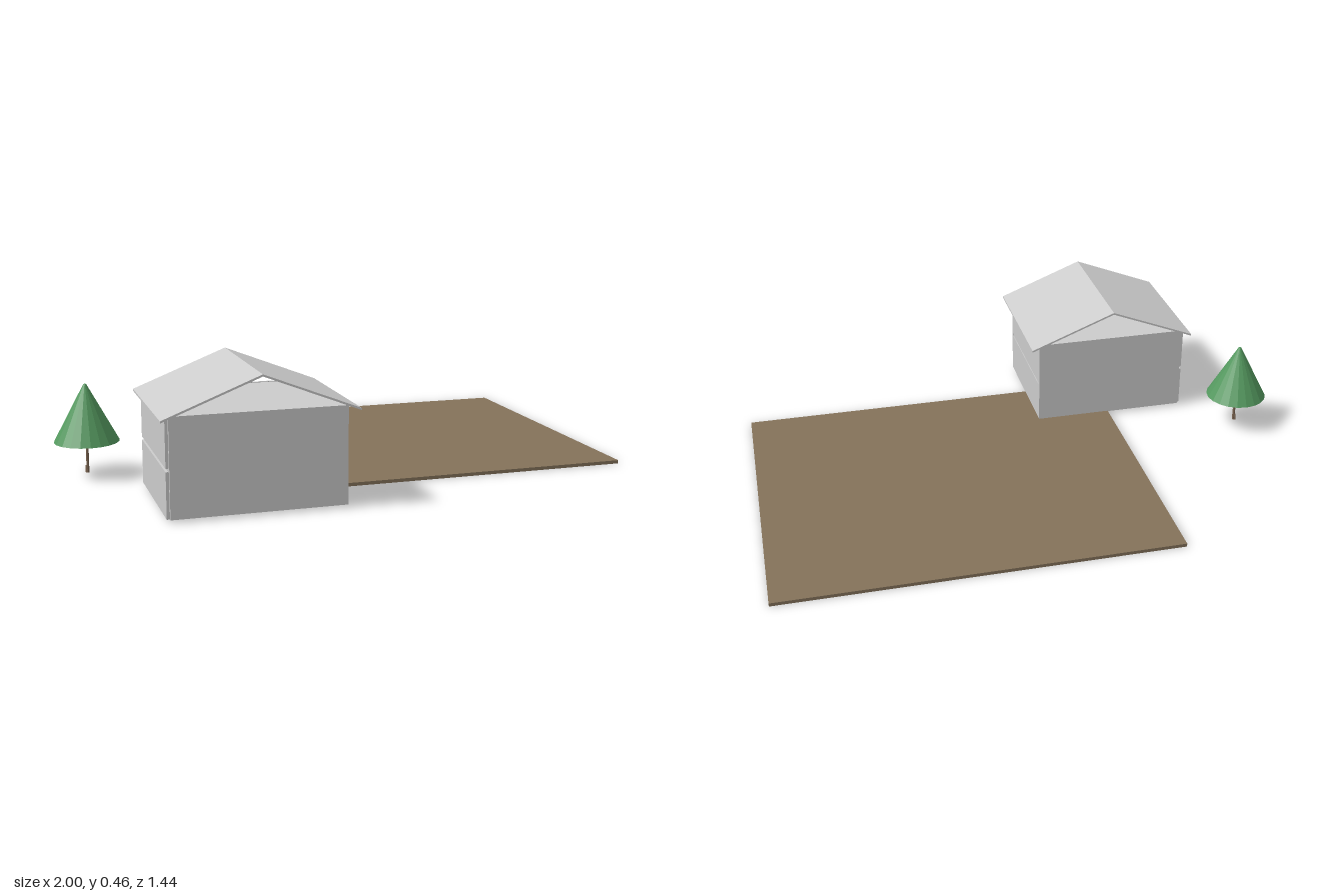
import * as THREE from 'three';

const material = (name, color) => {
  const m = new THREE.MeshStandardMaterial({ color, flatShading: true });
  m.name = name;
  return m;
};

export function createModel() {
  const grey = material('pale grey', 0xcccccc);
  const earth = material('earth brown', 0x84725a);
  const bark = material('bark brown', 0x7a6350);
  const leaf = material('leaf green', 0x559a60);

  const model = new THREE.Group();
  model.name = 'houseOnPlot';

  const add = (parent, name, geometry, mat) => {
    const mesh = new THREE.Mesh(geometry, mat);
    mesh.name = name;
    parent.add(mesh);
    return mesh;
  };
  // Box given by its lower and upper limits on each axis
  const slab = (parent, name, mat, [x0, x1], [y0, y1], [z0, z1]) => {
    const mesh = add(parent, name, new THREE.BoxGeometry(x1 - x0, y1 - y0, z1 - z0), mat);
    mesh.position.set((x0 + x1) / 2, (y0 + y1) / 2, (z0 + z1) / 2);
    return mesh;
  };

  // Plot of land
  slab(model, 'ground', earth, [-0.413, 1], [0, 0.012], [-0.723, 0.455]);

  // House: full-height end walls, with side walls and a floor slab per storey
  const house = new THREE.Group();
  house.name = 'house';
  model.add(house);
  const left = -0.709, right = -0.126, back = 0.22, front = 0.69, t = 0.01;
  slab(house, 'frontWall', grey, [left, right], [0.01, 0.34], [front - t, front]);
  slab(house, 'backWall', grey, [left, right], [0.01, 0.34], [back, back + t]);
  const inside = [back + t, front - t];
  [[0.01, 0.163], [0.174, 0.328]].forEach(([y0, y1], i) => {
    for (const x of [left, right]) {
      slab(house, `sideWallStorey${i + 1}`, grey, [x - t, x], [y0, y1], inside);
    }
    slab(house, i ? 'ceiling' : 'upperFloor', grey, [left, right - 0.002], [y1 + 0.001, y1 + 0.01], inside);
  });

  // Gabled roof: thin chevron extruded from back to front
  const ridge = -0.415, half = 0.324, thick = 0.007;
  const chevron = new THREE.Shape([
    [-half, 0.327], [0, 0.461 - thick], [half, 0.327],
    [half, 0.327 + thick], [0, 0.461], [-half, 0.327 + thick],
  ].map(([x, y]) => new THREE.Vector2(ridge + x, y)));
  const roof = add(house, 'roof',
    new THREE.ExtrudeGeometry(chevron, { depth: 0.525, bevelEnabled: false }), grey);
  roof.position.z = 0.193;

  // Conifer
  const tree = new THREE.Group();
  tree.name = 'tree';
  tree.position.set(-0.885, 0, 0.043);
  model.add(tree);
  add(tree, 'trunk', new THREE.CylinderGeometry(0.005, 0.005, 0.118, 10), bark).position.y = 0.07;
  add(tree, 'root', new THREE.CylinderGeometry(0.003, 0.004, 0.025, 6), bark).position.set(-0.004, 0.0235, -0.005);
  add(tree, 'crown', new THREE.CylinderGeometry(0.005, 0.115, 0.205, 20), leaf).position.y = 0.2285;

  return model;
}
